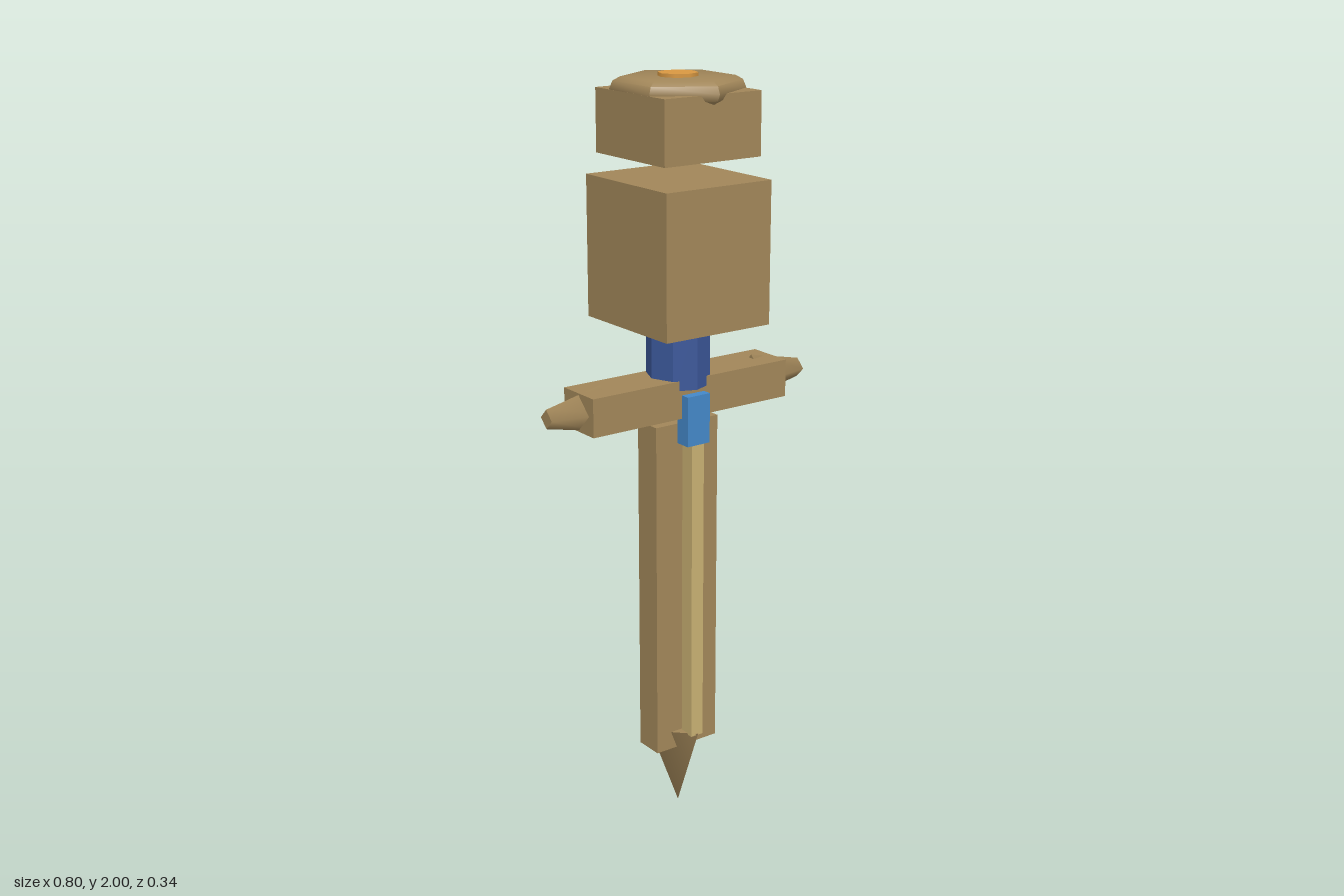
import * as THREE from 'three';
import { toCreasedNormals } from 'three/addons/utils/BufferGeometryUtils.js';

function material(name, color) {
  const m = new THREE.MeshStandardMaterial({ color });
  m.name = name;
  return m;
}

export function createModel() {
  const model = new THREE.Group();
  model.name = 'sword';

  const bronze = material('bronze', 0xa18659);
  const blue = material('deep blue', 0x3b5799);
  const sky = material('light blue', 0x4488c8);
  const gold = material('amber', 0xd89842);
  const sand = material('sand', 0xc8b072);

  function add(name, geometry, mat, x = 0, y = 0, z = 0) {
    const mesh = new THREE.Mesh(geometry, mat);
    mesh.name = name;
    mesh.position.set(x, y, z);
    model.add(mesh);
    return mesh;
  }
  const box = (w, h, d) => new THREE.BoxGeometry(w, h, d);

  // Blade with a raised ridge on the front and a four-sided point
  add('blade', box(0.196, 0.925, 0.08), bronze, 0, 0.6575, 0);
  add('bladeRidge', box(0.038, 0.9, 0.042), sand, 0, 0.69, 0.066);
  const tip = new THREE.ConeGeometry(0.092, 0.24, 4);
  tip.rotateX(Math.PI);
  add('bladeTip', tip, bronze, 0, 0.125, 0);
  add('ridgeClasp', box(0.07, 0.132, 0.044), sky, 0, 1.136, 0.068);

  // Crossguard with tapered diamond ends whose inner corners break the surface
  add('crossguard', box(0.61, 0.1, 0.13), bronze, 0, 1.19, 0);
  for (const side of [1, -1]) {
    const end = new THREE.CylinderGeometry(0.025, 0.06, 0.16, 4);
    end.rotateZ(-side * Math.PI / 2);
    add(side > 0 ? 'leftGuardEnd' : 'rightGuardEnd', end, bronze, side * 0.32, 1.19, 0);
  }

  // Grip, large block and side fin
  add('grip', toCreasedNormals(new THREE.CylinderGeometry(0.083, 0.083, 0.18, 8), 0.5), blue, 0, 1.305, 0);
  add('hiltBlock', box(0.318, 0.365, 0.342), bronze, 0, 1.5625, 0);
  add('sideFin', box(0.085, 0.21, 0.024), blue, 0.182, 1.485, 0);

  // Pommel: block, bevelled hexagonal cap and amber stud
  add('pommelBlock', box(0.29, 0.16, 0.29), bronze, 0, 1.88, 0);
  const profile = [
    [0, 1.934], [0.142, 1.934], [0.16, 1.945], [0.168, 1.962],
    [0.16, 1.981], [0.142, 1.991], [0, 1.991],
  ].map(([r, y]) => new THREE.Vector2(r, y));
  add('pommelCap', toCreasedNormals(new THREE.LatheGeometry(profile, 6), 0.75), bronze);
  add('pommelStud', new THREE.CylinderGeometry(0.05, 0.05, 0.02, 8), gold, 0, 1.99, 0);

  return model;
}
